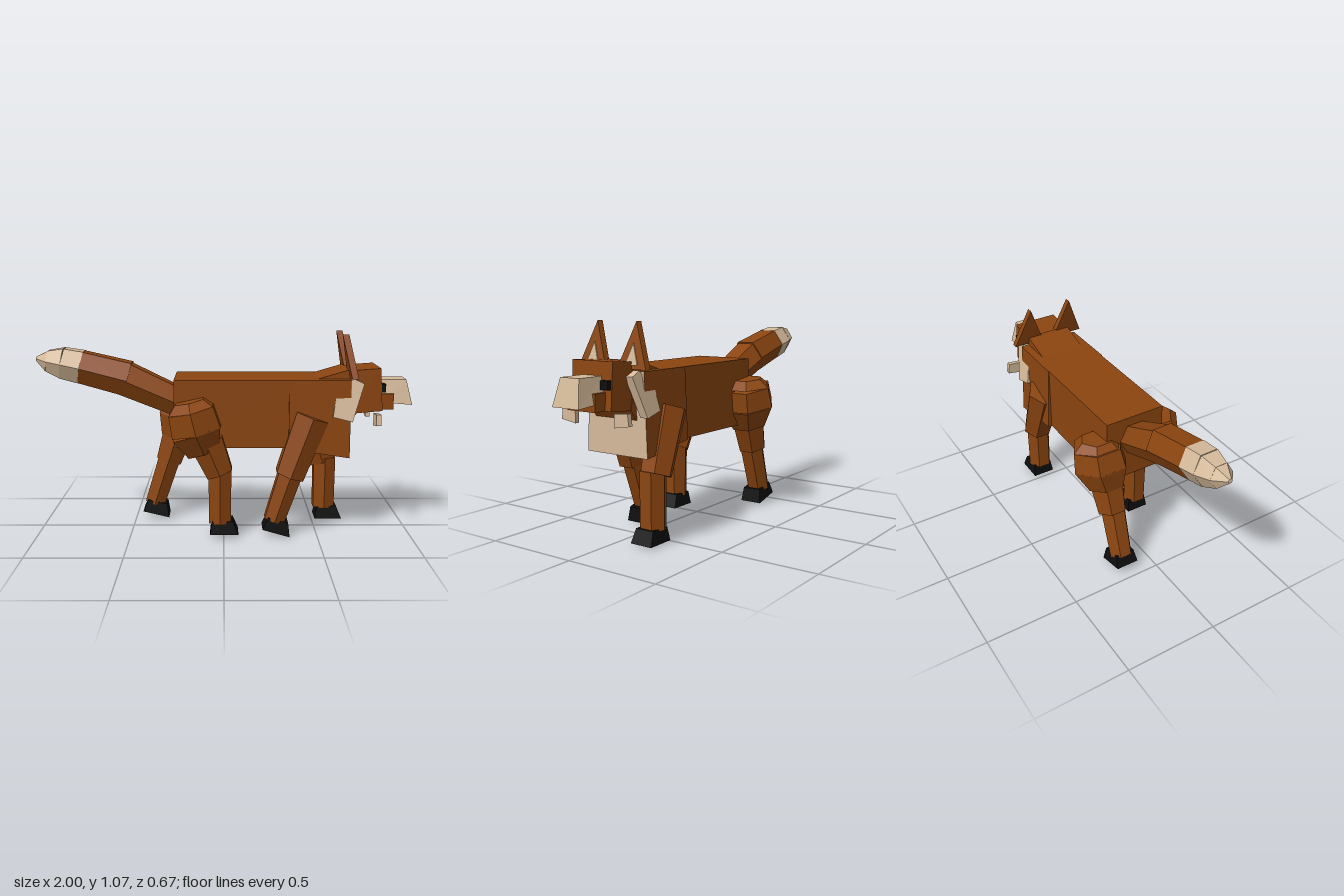
import * as THREE from 'three';

const mat = (name, color) => Object.assign(new THREE.MeshStandardMaterial({ color }), { name });

export function createModel() {
  const fur = mat('russetFur', 0x8b4510);
  const cream = mat('creamFur', 0xd5ba9a);
  const black = mat('black', 0x0d0d0d);
  const fox = new THREE.Group();
  fox.name = 'fox';

  // Adds a faceted mesh
  function add(name, geo, material, parent = fox) {
    const g = geo.index ? geo.toNonIndexed() : geo;
    g.computeVertexNormals();
    const mesh = new THREE.Mesh(g, material);
    mesh.name = name;
    parent.add(mesh);
    return mesh;
  }

  // Moves every vertex by a rule
  function warp(geo, rule) {
    const p = geo.attributes.position;
    for (let i = 0; i < p.count; i++) p.setXYZ(i, ...rule(p.getX(i), p.getY(i), p.getZ(i)));
    return geo;
  }

  // Box with the given limits
  function box(x0, x1, y0, y1, z0, z1) {
    return new THREE.BoxGeometry(x1 - x0, y1 - y0, z1 - z0)
      .translate((x0 + x1) / 2, (y0 + y1) / 2, (z0 + z1) / 2);
  }

  // Flat outline with a thickness, centred on its plane
  function slab(points, depth) {
    const shape = new THREE.Shape(points.map(p => new THREE.Vector2(...p)));
    return new THREE.ExtrudeGeometry(shape, { depth, bevelEnabled: false }).translate(0, 0, -depth / 2);
  }

  // Chain of six-sided segments through stations [x, y, radius, z]
  function chain(name, stations, material, parent = fox) {
    for (let i = 0; i < stations.length - 1; i++) {
      const [x0, y0, r0, z0 = 0] = stations[i];
      const [x1, y1, r1, z1 = 0] = stations[i + 1];
      const length = Math.hypot(x1 - x0, y1 - y0);
      const geo = new THREE.CylinderGeometry(r1, r0, length, 6);
      warp(geo, (x, y, z) => [x, y, z + z0 + (z1 - z0) * (y / length + 0.5)]);
      geo.rotateZ(Math.atan2(y1 - y0, x1 - x0) - Math.PI / 2);
      geo.translate((x0 + x1) / 2, (y0 + y1) / 2, 0);
      add(name, geo, material, parent);
    }
  }

  // Trunk with pale belly, deeper chest with pale front
  add('body', box(-0.26, 0.35, 0.49, 0.85, -0.166, 0.166), [fur, fur, fur, cream, fur, fur]);
  const chest = warp(box(0.34, 0.66, 0.44, 0.85, -1, 1), (x, y, z) =>
    [x, y < 0.5 && x < 0.4 ? 0.488 : y, z * (y < 0.5 ? 0.187 : 0.17)]);
  add('chest', chest, [cream, fur, fur, cream, fur, fur]);
  add('neck', slab([[0.49, 0.85], [0.66, 0.9], [0.7, 0.67], [0.665, 0.62], [0.5, 0.62]], 0.25), fur);

  // Head, jaw and tapering snout
  add('head', slab([[0.65, 0.893], [0.82, 0.905], [0.835, 0.68], [0.66, 0.665]], 0.245), fur);
  add('jaw', box(0.8, 0.9, 0.68, 0.765, -0.086, 0.086), fur);
  add('snout', warp(box(0, 1, 0, 1, -1, 1), (x, y, z) => [
    x < 0.5 ? 0.82 : y > 0.5 ? 0.968 : 1,
    y > 0.5 ? 0.838 : x < 0.5 ? 0.72 : 0.705,
    z * (y > 0.5 ? 0.057 : 0.08),
  ]), cream);

  // Paired head details
  for (const s of [1, -1]) {
    const side = s > 0 ? 'left' : 'right';
    add(side + 'Eye', box(0.815, 0.85, 0.778, 0.82, s * 0.095 - 0.023, s * 0.095 + 0.023), black);

    const lean = (x, y, z) => [x + 0.675 - (y - 0.86) * 0.2, y, z];
    const earShape = [[-s * 0.035, 0.86], [-s * 0.208, 0.86], [-s * 0.12, 1.08]];
    add(side + 'Ear', warp(slab(earShape, 0.034).rotateY(Math.PI / 2), lean), fur);
    const innerShape = [[-s * 0.083, 0.88], [-s * 0.157, 0.88], [-s * 0.12, 0.98]];
    add(side + 'InnerEar', warp(slab(innerShape, 0.008).rotateY(Math.PI / 2).translate(0.018, 0, 0), lean), cream);

    // Cheek ruff flares outward toward the bottom
    const ruff = slab([[0.675, 0.855], [0.73, 0.83], [0.668, 0.635], [0.567, 0.66], [0.585, 0.78]], 0.045);
    add(side + 'CheekRuff', warp(ruff, (x, y, z) => [x, y, z + s * (0.132 + (0.855 - y) * 0.2)]), cream);
    const tuft = [[-s * 0.12, 0.668], [-s * 0.12, 0.603], [-s * 0.208, 0.617], [-s * 0.2, 0.675]];
    add(side + 'CheekTuft', slab(tuft, 0.025).rotateY(Math.PI / 2).translate(0.802, 0, 0), cream);
  }

  // Tail with pale tip
  chain('tail', [[-0.22, 0.7, 0.085], [-0.525, 0.835, 0.1]], fur);
  chain('tail', [[-0.51, 0.835, 0.103], [-0.765, 0.9, 0.096]], fur);
  chain('tailTip', [[-0.76, 0.899, 0.098], [-0.86, 0.92, 0.092], [-0.94, 0.932, 0.063], [-1, 0.943, 0.012]], cream);

  // Paw: wedge wider at the sole, tilted with the leg
  function paw(name, x, y, tilt, z, parent) {
    const geo = warp(box(-1, 1, 0, 0.07, -1, 1), (px, py, pz) => py > 0.03
      ? [px * 0.055 - 0.006, py, pz * 0.052]
      : [px > 0 ? 0.078 : -0.073, py, pz * 0.062]);
    add(name, geo.rotateZ(tilt).translate(x, y, z), black, parent);
  }

  // Each leg: overlapping chains of stations, then the paw
  const legs = [
    ['leftFrontLeg', 1, [
      [[0.462, 0.657, 0.1, 0.137], [0.348, 0.34, 0.085, 0.155]],
      [[0.358, 0.365, 0.072, 0.145], [0.27, 0.09, 0.062, 0.145]],
    ], [0.277, 0.03, -0.28, 0.14]],
    ['rightFrontLeg', -1, [
      [[0.445, 0.66, 0.1, 0.143], [0.555, 0.345, 0.082, 0.155]],
      [[0.568, 0.37, 0.07, 0.145], [0.568, 0.08, 0.068, 0.145]],
    ], [0.59, 0.018, 0, 0.147]],
    ['leftHindLeg', 1, [
      [[-0.178, 0.745, 0.085, 0.19], [-0.168, 0.7, 0.135, 0.19], [-0.14, 0.585, 0.148, 0.183], [-0.1, 0.475, 0.1, 0.17]],
      [[-0.09, 0.53, 0.1, 0.17], [-0.02, 0.355, 0.08, 0.165]],
      [[-0.02, 0.37, 0.07, 0.163], [-0.02, 0.085, 0.066, 0.163]],
    ], [0, 0.028, 0, 0.157]],
    ['rightHindLeg', -1, [
      [[-0.2, 0.745, 0.085, 0.19], [-0.205, 0.7, 0.135, 0.19], [-0.23, 0.595, 0.15, 0.185], [-0.262, 0.48, 0.1, 0.17]],
      [[-0.24, 0.56, 0.1, 0.17], [-0.31, 0.345, 0.08, 0.165]],
      [[-0.303, 0.37, 0.07, 0.16], [-0.392, 0.095, 0.063, 0.16]],
    ], [-0.386, 0.04, -0.24, 0.157]],
  ];
  for (const [name, s, chains, [px, py, tilt, pz]] of legs) {
    const leg = new THREE.Group();
    leg.name = name;
    fox.add(leg);
    const parts = chains.length === 3 ? ['thigh', 'shank', 'lowerLeg'] : ['upperLeg', 'lowerLeg'];
    chains.forEach((c, i) => chain(parts[i], c.map(([x, y, r, z]) => [x, y, r, s * z]), fur, leg));
    paw('paw', px, py, tilt, s * pz, leg);
  }

  return fox;
}
